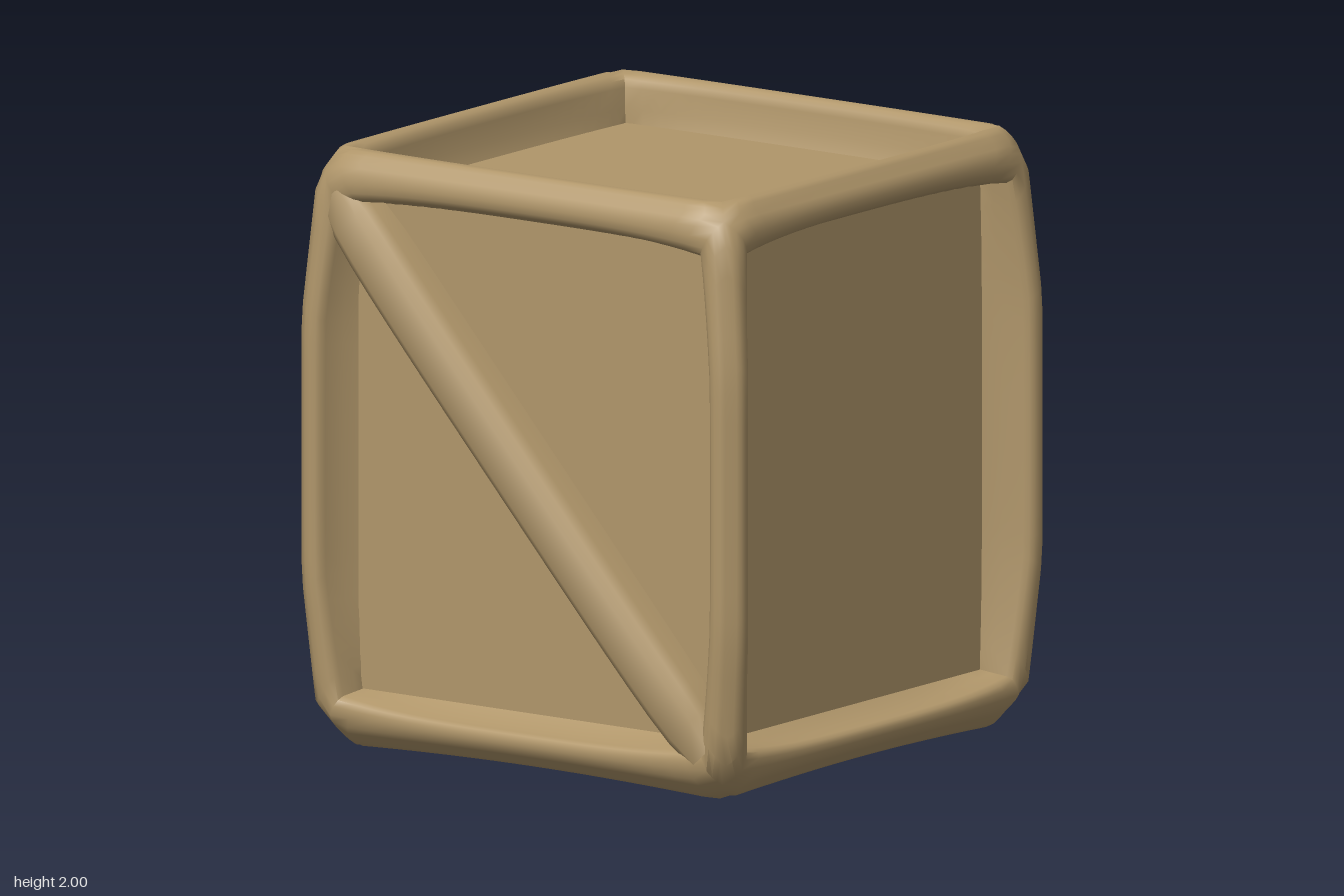
import * as THREE from 'three';
import { mergeVertices, toCreasedNormals } from 'three/addons/utils/BufferGeometryUtils.js';

const { clamp } = THREE.MathUtils;
const PANEL = [0.73, 0.824, 0.737];  // half size of the inner box
const INNER = [0.706, 0.806, 0.702]; // half size of the frame openings
const OUTER = [0.85, 1, 0.85];       // half size of the frame
const STEPS = 20;                    // segments along each bar
const EDGE = 0.82;                   // where neighbouring faces meet

// Bar profile from panel to shared cube edge: [inset, depth] fractions
const PROFILE = [[0, 0], [0.05, 0.4], [0.09, 0.76], [0.15, 0.89], [0.26, 0.96], [0.42, 1], [0.6, 0.98], [0.72, 0.92], [EDGE, EDGE]];

// Bow the posts outwards, pull the corners in, taper and arch the underside
function shape(p, inset) {
  const [x, y, z] = p;
  const sum = p.reduce((n, c, i) => n + Math.abs(c) / OUTER[i], 0);
  const pull = 1 - 0.22 * Math.max(0, sum - 2.8);
  const bow = clamp((0.95 - Math.abs(y)) / 0.52, 0, 1) * Math.min(1, inset / 0.09);
  const low = clamp((-y - 0.85) / 0.15, 0, 1);
  const arch = 0.02 * low * Math.max(0, 1 - (Math.min(Math.abs(x), Math.abs(z)) / 0.75) ** 2);
  return [
    x * (pull + 0.055 * bow - 0.035 * low),
    y * pull + arch,
    z * (pull + 0.036 * bow - 0.035 * low)
  ];
}

// Point on the rim of the square -1..1, counter-clockwise
function rim(i) {
  const side = Math.floor(i / STEPS) % 4;
  const t = -1 + 2 * (i % STEPS) / STEPS;
  return [[t, -1], [1, t], [-t, 1], [-1, -t]][side];
}

// One ring of profile loops on each of the six faces, welded along the edges
function frameGeometry() {
  const pos = [], index = [];
  const count = STEPS * 4;
  for (let k = 0; k < 3; k++) for (const sign of [1, -1]) {
    const u = (k + 1) % 3, v = (k + 2) % 3, start = pos.length / 3;
    for (const [inset, depth] of PROFILE) for (let i = 0; i < count; i++) {
      const [a, b] = rim(i), p = [0, 0, 0];
      const size = (axis, f) => INNER[axis] + f * (OUTER[axis] - INNER[axis]);
      // The opening widens towards the middle of each bar
      const widen = inset > 0 ? 0.25 * (EDGE - inset) * (1 - Math.min(Math.abs(a), Math.abs(b)) ** 3) : 0;
      p[u] = a * size(u, inset + widen);
      p[v] = b * size(v, inset + widen);
      p[k] = sign * size(k, depth);
      pos.push(...shape(p, inset));
    }
    for (let r = 0; r < PROFILE.length - 1; r++) for (let i = 0; i < count; i++) {
      const j = (i + 1) % count;
      const a = start + r * count + i, b = start + r * count + j, c = a + count, d = b + count;
      if (sign > 0) index.push(a, c, b, b, c, d);
      else index.push(a, b, c, b, d, c);
    }
  }
  const g = new THREE.BufferGeometry();
  g.setAttribute('position', new THREE.Float32BufferAttribute(pos, 3));
  g.setIndex(index);
  return toCreasedNormals(mergeVertices(g, 1e-4), 0.9);
}

// Rounded beam lofted along +x, prouder in the middle, its ends sunk in the frame
function braceGeometry(length) {
  const section = [[-1, 0], [-0.95, 0.07], [-0.85, 0.112], [-0.55, 0.135], [0.55, 0.135], [0.85, 0.112], [0.95, 0.07], [1, 0]];
  const pos = [], index = [], n = section.length, rows = 20;
  for (let r = 0; r <= rows; r++) {
    const t = -1 + 2 * r / rows;
    const half = 0.102 - 0.03 * t ** 16;
    const height = 1.08 - 0.24 * t ** 4, lift = 0.03 * t ** 16;
    for (const [y, z] of section) pos.push(t * length / 2, y * half, Math.max(z * height, lift));
  }
  for (let r = 0; r < rows; r++) for (let i = 0; i < n - 1; i++) {
    const a = r * n + i, b = a + n;
    index.push(a, b, a + 1, b, b + 1, a + 1);
  }
  const g = new THREE.BufferGeometry();
  g.setAttribute('position', new THREE.Float32BufferAttribute(pos, 3));
  g.setIndex(index);
  return toCreasedNormals(g, 0.8);
}

export function createModel() {
  const group = new THREE.Group();
  const wood = new THREE.MeshStandardMaterial({ color: 0xb0966a });
  wood.name = 'wood';
  const add = (name, geometry, parent = group) => {
    const mesh = new THREE.Mesh(geometry, wood);
    mesh.name = name;
    parent.add(mesh);
    return mesh;
  };

  // Inner box whose six sides are the recessed panels
  add('panels', new THREE.BoxGeometry(...PANEL.map(h => h * 2))).position.y = 1.014;

  // Twelve rounded bars around the panels
  add('frame', frameGeometry()).position.y = 1;

  // Diagonal braces, front and back, both rising towards -x
  const from = new THREE.Vector2(-0.765, 1.845), to = new THREE.Vector2(0.745, 0.155);
  const along = to.clone().sub(from), middle = from.clone().add(to).multiplyScalar(0.5);
  const geometry = braceGeometry(along.length());
  const angle = Math.atan2(along.y, along.x);
  const front = add('frontBrace', geometry);
  front.position.set(middle.x, middle.y, PANEL[2]);
  front.rotation.z = angle;

  const backSide = new THREE.Group();
  backSide.name = 'backBraceSide';
  backSide.rotation.y = Math.PI;
  const back = add('backBrace', geometry, backSide);
  back.position.set(-middle.x, middle.y, PANEL[2]);
  back.rotation.z = -angle;
  group.add(backSide);

  return group;
}
